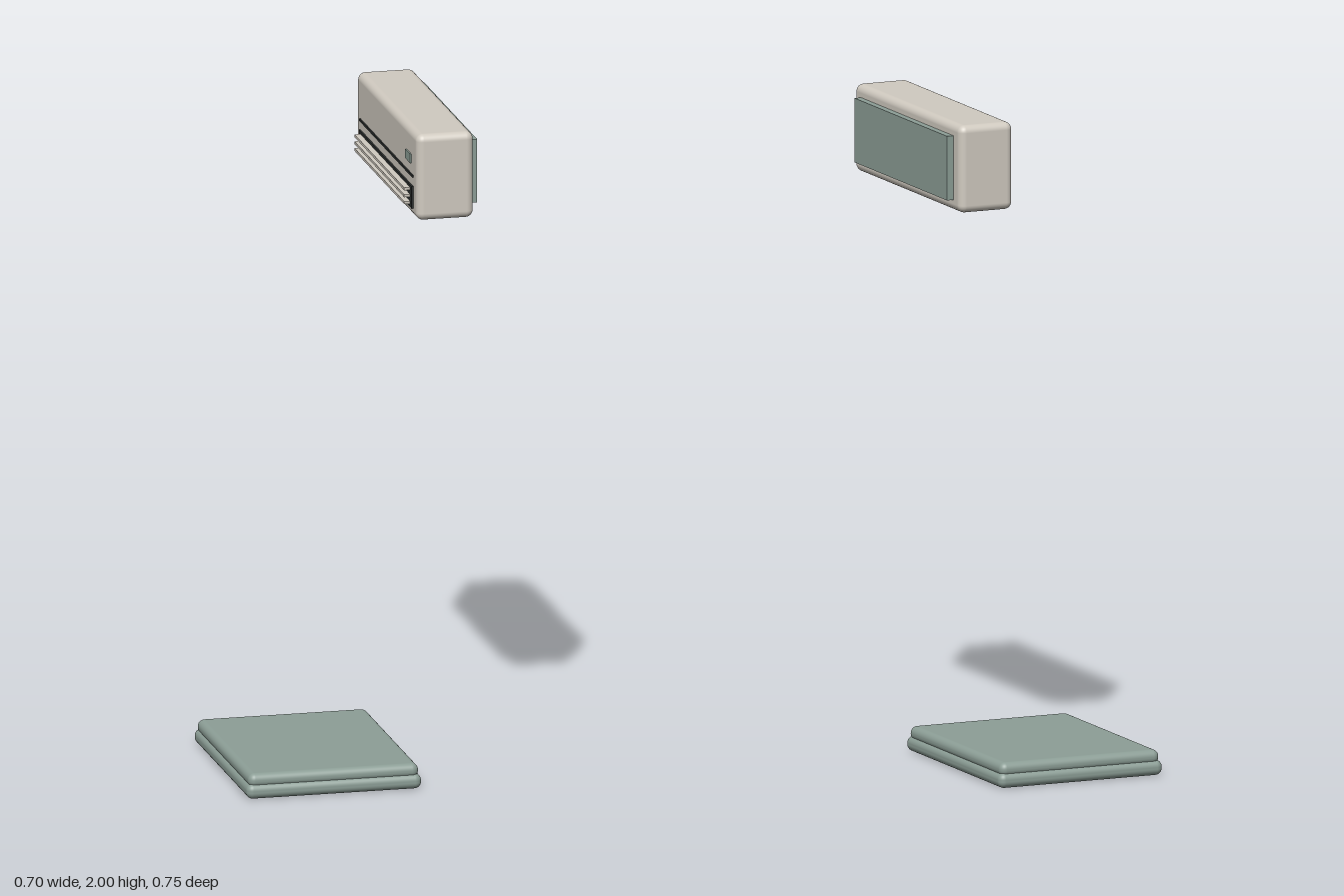
import * as THREE from 'three';
import { RoundedBoxGeometry } from 'three/addons/geometries/RoundedBoxGeometry.js';

const paint = (name, color) => {
  const m = new THREE.MeshStandardMaterial({ color });
  m.name = name;
  return m;
};

export function createModel() {
  const group = new THREE.Group();
  const beige = paint('warm beige', 0xd0cac0);
  const green = paint('sage green', 0x8c9e96);
  const dark = paint('dark vent', 0x2c302f);

  // Box given by its lower and upper corners; a radius rounds its edges
  function block(name, material, [x0, y0, z0], [x1, y1, z1], radius = 0) {
    const size = [x1 - x0, y1 - y0, z1 - z0];
    const geometry = radius
      ? new RoundedBoxGeometry(...size, 5, radius)
      : new THREE.BoxGeometry(...size);
    const mesh = new THREE.Mesh(geometry, material);
    mesh.name = name;
    mesh.position.set((x0 + x1) / 2, (y0 + y1) / 2, (z0 + z1) / 2);
    group.add(mesh);
  }

  // Floor base: two stacked soft-edged slabs
  block('lowerSlab', green, [-0.348, 0, -0.336], [0.18, 0.045, 0.336], 0.02);
  block('upperSlab', green, [-0.341, 0.032, -0.328], [0.173, 0.075, 0.328], 0.0205);

  // Wall unit and its mounting plate
  block('housing', beige, [0.155, 1.739, -0.375], [0.327, 2, 0.375], 0.022);
  block('mountingPlate', green, [0.31, 1.773, -0.327], [0.348, 1.965, 0.327]);

  // Seam, outlet and display on the face turned to -x
  block('panelSeam', dark, [0.151, 1.861, -0.327], [0.157, 1.868, 0.327]);
  block('airOutlet', dark, [0.15, 1.766, -0.327], [0.157, 1.834, 0.327]);
  block('display', green, [0.151, 1.898, 0.243], [0.157, 1.926, 0.303]);

  // Outlet louvres
  [1.78, 1.801, 1.822].forEach((y) =>
    block('louvre', beige, [0.132, y - 0.004, -0.308], [0.156, y + 0.004, 0.308]));

  return group;
}
